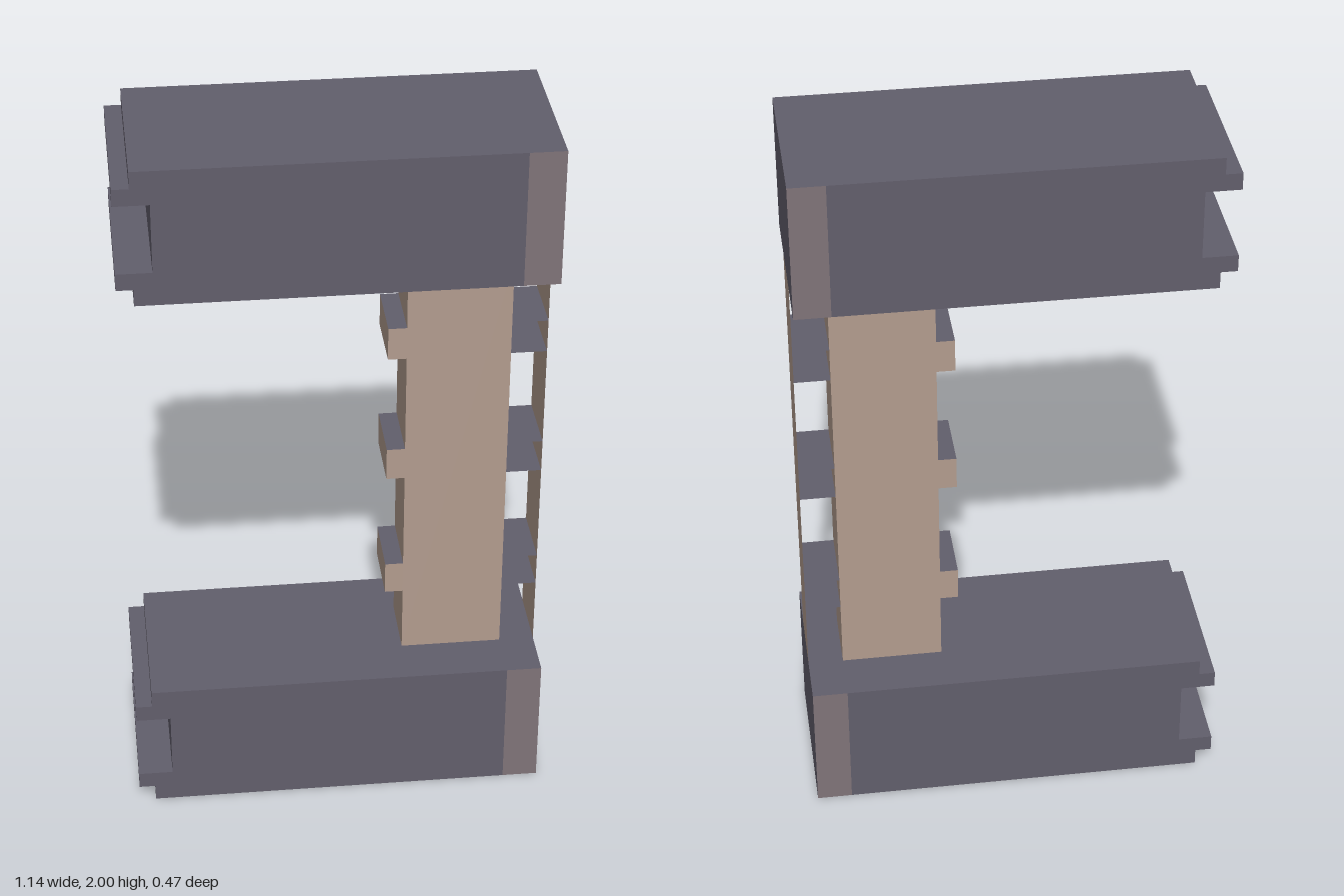
import * as THREE from 'three';

export function createModel() {
  const model = new THREE.Group();
  const mat = (name, color, side = THREE.FrontSide) => {
    const m = new THREE.MeshStandardMaterial({ color, side });
    m.name = name;
    return m;
  };
  const slate = mat('slate', 0x625f6c, THREE.DoubleSide);
  const tan = mat('tan', 0xb39d8f, THREE.DoubleSide);
  const mauve = mat('mauve', 0x807479);

  const add = (name, geometry, material, x, y, z, parent = model) => {
    const mesh = new THREE.Mesh(geometry, material);
    mesh.name = name;
    mesh.position.set(x, y, z);
    parent.add(mesh);
    return mesh;
  };

  const depth = 0.474, height = 0.38; // beam section
  const seam = 0.473, end = 0.57; // where the end block starts and stops
  const postDepth = 0.186, gap = end - seam;

  // Beam outline with two prongs and a recess at its -x end
  const outline = new THREE.Shape([
    [seam, 0], [seam, height], [-0.525, height], [-0.525, 0.333], [-0.57, 0.333],
    [-0.57, 0.286], [-0.475, 0.286], [-0.475, 0.094], [-0.57, 0.094],
    [-0.57, 0.047], [-0.525, 0.047], [-0.525, 0],
  ].map(([x, y]) => new THREE.Vector2(x, y)));
  const beamGeometry = new THREE.ExtrudeGeometry(outline, { depth, bevelEnabled: false });
  const endGeometry = new THREE.BoxGeometry(gap, height, depth);

  for (const [name, y] of [['lowerBeam', 0], ['upperBeam', 2 - height]]) {
    const beam = new THREE.Group();
    beam.name = name;
    beam.position.y = y;
    add('beamBody', beamGeometry, slate, 0, 0, -depth / 2, beam);
    // End block: mauve on its front and back only
    add('beamEnd', endGeometry, [slate, slate, slate, slate, mauve, mauve],
      (seam + end) / 2, height / 2, 0, beam);
    model.add(beam);
  }

  // Post between the beams, and the thin panel standing off its side
  const postHeight = 2 - 2 * height;
  add('post', new THREE.BoxGeometry(0.28, postHeight, postDepth), tan, seam - 0.14, 1, 0);
  add('sidePanel', new THREE.PlaneGeometry(postDepth, postHeight), tan, end, 1, 0)
    .rotation.y = Math.PI / 2;

  // Teeth on the post, each with a pair of thin shelves reaching the panel
  const toothHeight = 0.094;
  const toothGeometry = new THREE.BoxGeometry(0.05, toothHeight, postDepth);
  const shelfGeometry = new THREE.PlaneGeometry(gap, postDepth).rotateX(-Math.PI / 2);
  for (const y of [0.62, 1, 1.38]) {
    add('tooth', toothGeometry, [tan, tan, slate, slate, tan, tan], 0.168, y, 0);
    for (const s of [-1, 1]) {
      add('shelf', shelfGeometry, slate, (seam + end) / 2, y + s * toothHeight / 2, 0);
    }
  }
  return model;
}
